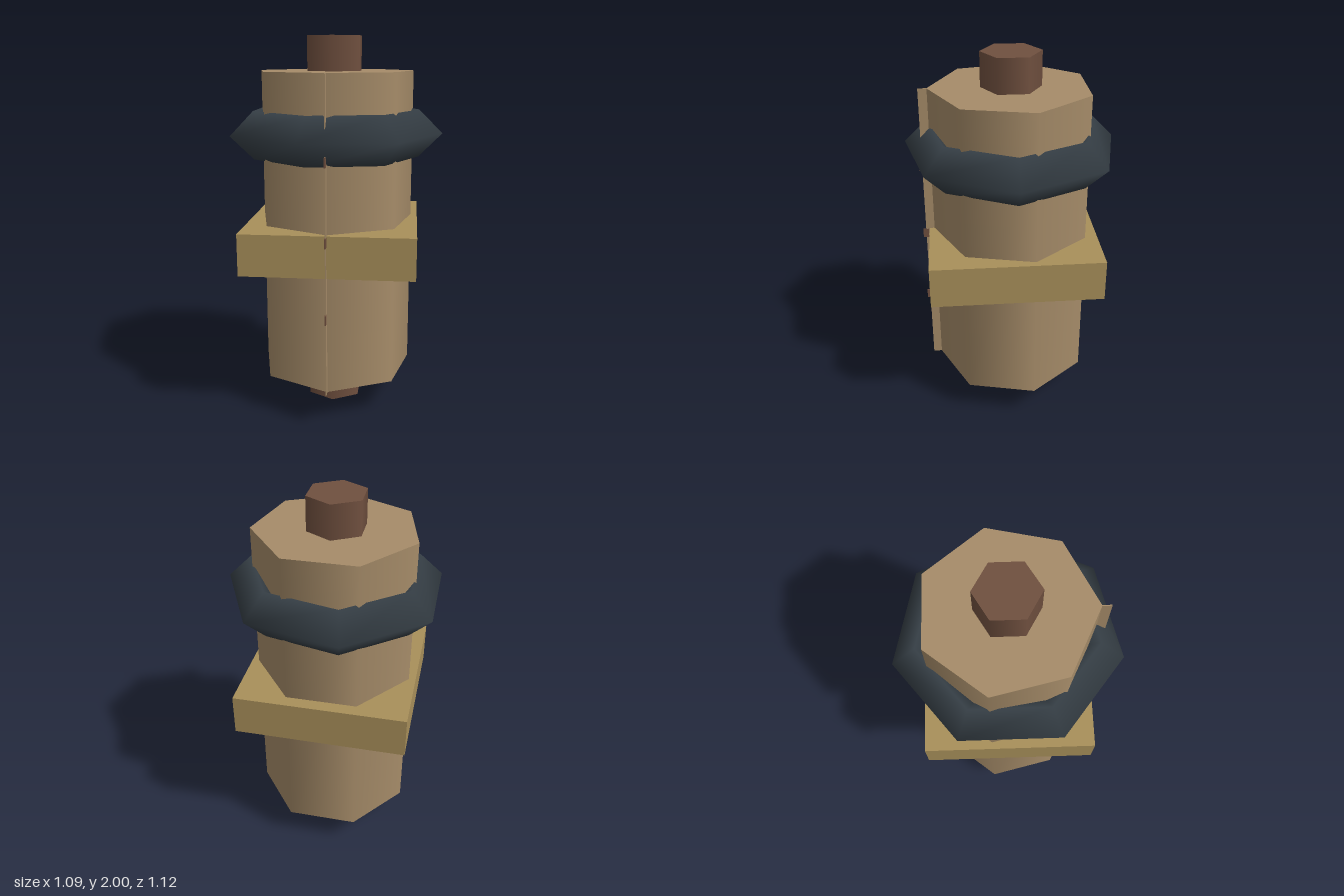
import * as THREE from 'three';

const CX = -0.03; // axis of the body

function part(parent, name, geometry, color, x, y, z) {
  const material = new THREE.MeshStandardMaterial({ color });
  const mesh = new THREE.Mesh(geometry, material);
  mesh.name = name;
  mesh.position.set(x, y, z);
  parent.add(mesh);
  return mesh;
}

export function createModel() {
  const group = new THREE.Group();
  group.name = 'bandedBarrel';
  const wood = 0xa68c69, brown = 0x70503f, brass = 0xa9905a, rubber = 0x363f46;

  // Six-sided axle running through the whole height
  part(group, 'axle', new THREE.CylinderGeometry(0.157, 0.157, 2, 6), brown, CX, 1, 0);

  // Seven-sided barrel
  part(group, 'barrel', new THREE.CylinderGeometry(0.425, 0.425, 1.64, 7), wood, CX, 1, 0);

  // Square collar around the middle
  part(group, 'collar', new THREE.BoxGeometry(0.9, 0.22, 0.9), brass, CX, 0.92, 0);

  // Coarse ring with a diamond cross-section
  const ring = new THREE.TorusGeometry(0.449, 0.125, 4, 7).rotateX(Math.PI / 2);
  part(group, 'ring', ring, rubber, CX, 1.495, 0);

  // Thin seam fin along the front edge, with small pegs
  part(group, 'seamFin', new THREE.BoxGeometry(0.005, 1.64, 0.07), wood, CX, 1, 0.435);
  for (const y of [0.6, 1.0, 1.4]) {
    part(group, 'seamPeg', new THREE.BoxGeometry(0.008, 0.05, 0.03), brown, CX, y, 0.471);
  }

  return group;
}
